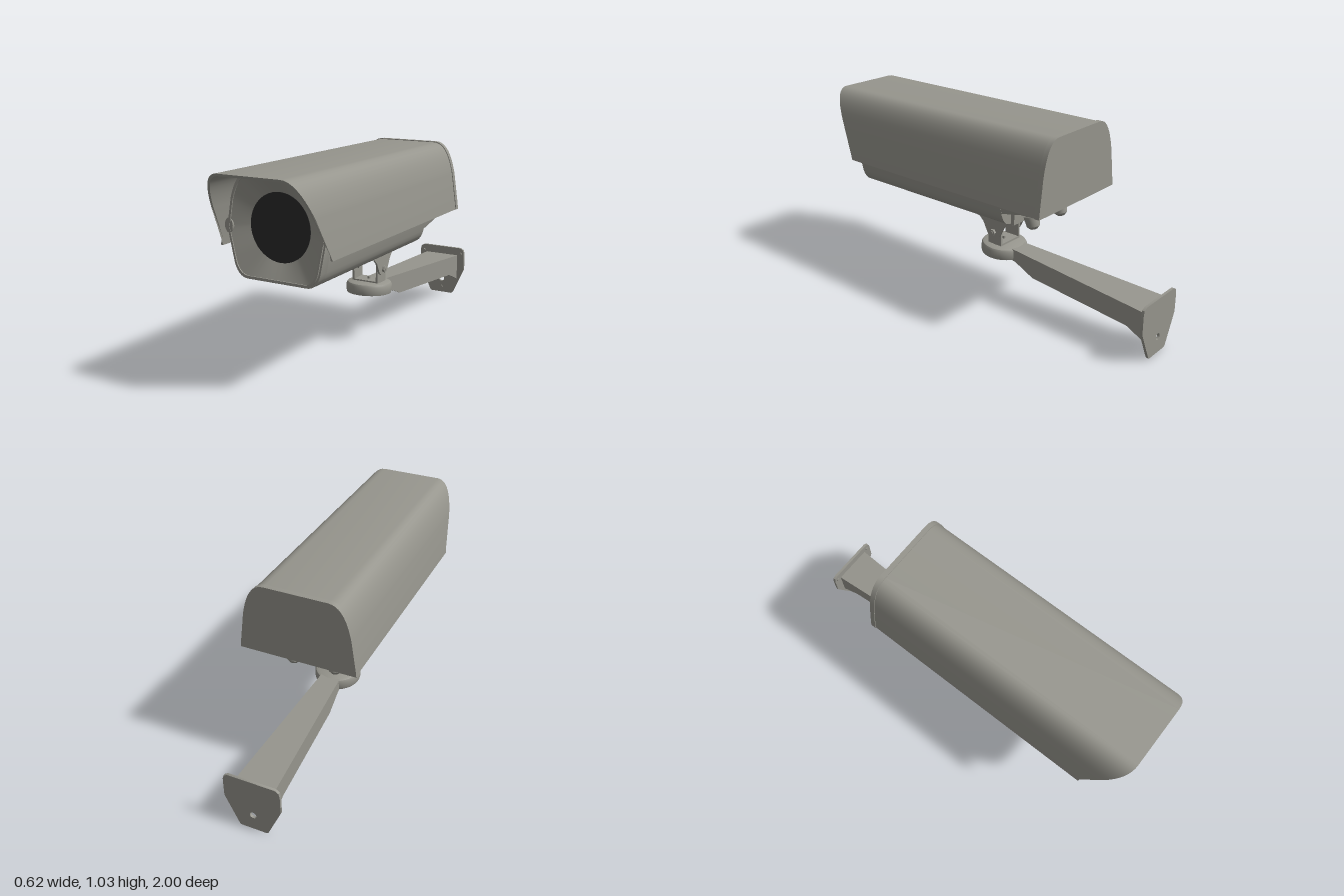
import * as THREE from 'three';
import { toCreasedNormals } from 'three/addons/utils/BufferGeometryUtils.js';

const grey = new THREE.MeshStandardMaterial({ color: 0x96958d });
grey.name = 'warm grey';
const black = new THREE.MeshStandardMaterial({ color: 0x2b2b2b });
black.name = 'lens black';

const CY = 0.765; // height of the lens axis

export function createModel() {
  const model = new THREE.Group();

  const add = (name, geo, mat = grey, parent = model) => {
    const m = new THREE.Mesh(toCreasedNormals(geo, 0.6), mat);
    m.name = name;
    parent.add(m);
    return m;
  };
  const warp = (geo, fn) => {
    const p = geo.attributes.position, v = new THREE.Vector3();
    for (let i = 0; i < p.count; i++) {
      v.fromBufferAttribute(p, i);
      fn(v);
      p.setXYZ(i, v.x, v.y, v.z);
    }
    return geo;
  };
  // Extrude an xy shape between two z values
  const prism = (shape, z0, z1) => new THREE.ExtrudeGeometry(shape,
    { depth: z1 - z0, bevelEnabled: false, curveSegments: 10 }).translate(0, 0, z0);
  const poly = pts => new THREE.Shape(pts.map(p => new THREE.Vector2(p[0], p[1])));
  // Extrude a (z, y) outline to a plate of thickness t centred on x
  const plate = (pts, x, t) => prism(poly(pts), -t / 2, t / 2).rotateY(-Math.PI / 2).translate(x, 0, 0);
  const rod = (r, len, x, y, z, seg = 20) =>
    new THREE.CylinderGeometry(r, r, len, seg).rotateZ(Math.PI / 2).translate(x, y, z);

  // Housing section, scaled about the lens axis
  const section = (s = 1) => {
    const q = new THREE.Shape();
    const P = (x, y) => [x * s, CY + (y - CY) * s];
    q.moveTo(...P(-0.16, 0.515));
    q.lineTo(...P(0.16, 0.515));
    q.quadraticCurveTo(...P(0.215, 0.515), ...P(0.235, 0.585));
    q.lineTo(...P(0.27, 0.75));
    q.lineTo(...P(0.245, 0.885));
    q.bezierCurveTo(...P(0.23, 0.94), ...P(0.2, 1.005), ...P(0.16, 1.005));
    q.lineTo(...P(-0.16, 1.005));
    q.bezierCurveTo(...P(-0.2, 1.005), ...P(-0.23, 0.94), ...P(-0.245, 0.885));
    q.lineTo(...P(-0.27, 0.75));
    q.lineTo(...P(-0.235, 0.585));
    q.quadraticCurveTo(...P(-0.215, 0.515), ...P(-0.16, 0.515));
    return q;
  };
  const ring = (s0, s1, z0, z1) => {
    const q = section(s0);
    q.holes.push(section(s1));
    return prism(q, z0, z1);
  };

  // Housing, with the underside of its tail sloping up to the back
  add('housing', prism(section(), -0.215, 0.765));
  add('housingTail', warp(prism(section(), -0.485, -0.215), v => {
    v.y = Math.max(v.y, v.z < -0.3 ? 0.65 : 0.592);
  }));
  add('tailLip', new THREE.BoxGeometry(0.32, 0.07, 0.022).translate(0, 0.545, -0.224));

  // Stepped front rim, funnel and lens
  add('rimOuter', ring(1, 0.965, 0.76, 0.812));
  add('rimInner', ring(0.968, 0.935, 0.76, 0.82));
  const N = 96, R = 0.163, pos = [], idx = [];
  for (const p of section(0.94).getSpacedPoints(N)) {
    const a = Math.atan2(p.y - CY, p.x);
    pos.push(p.x, p.y, 0.815, R * Math.cos(a), CY + R * Math.sin(a), 0.773);
  }
  for (let i = 0; i < N; i++) {
    const a = 2 * i;
    idx.push(a, a + 2, a + 1, a + 1, a + 2, a + 3);
  }
  const funnel = new THREE.BufferGeometry();
  funnel.setAttribute('position', new THREE.Float32BufferAttribute(pos, 3));
  funnel.setIndex(idx);
  funnel.computeVertexNormals();
  add('funnel', funnel);
  add('lens', new THREE.CylinderGeometry(R, R, 0.009, 48).rotateX(Math.PI / 2).translate(0, CY, 0.7705), black);
  for (const s of [-1, 1]) {
    add('rimEar', new THREE.CylinderGeometry(0.035, 0.035, 0.075, 20).rotateX(Math.PI / 2)
      .scale(0.65, 1, 1).translate(s * 0.257, 0.758, 0.78));
  }

  // Sun hood: thin arch with a raked front edge
  const arch = (q, d, dir) => {
    const s = dir, x = v => s * (v - d), top = 1.028 - d;
    q.lineTo(x(0.305), 0.66);
    q.lineTo(x(0.302), 0.69);
    q.lineTo(x(0.278), 0.86);
    q.bezierCurveTo(x(0.26), 0.95, x(0.23), top, s * 0.165, top);
    q.lineTo(-s * 0.165, top);
    q.bezierCurveTo(-x(0.23), top, -x(0.26), 0.95, -x(0.278), 0.86);
    q.lineTo(-x(0.302), 0.69);
    q.lineTo(-x(0.305), 0.66);
  };
  const hood = new THREE.Shape();
  hood.moveTo(0.305, 0.66);
  arch(hood, 0, 1);
  arch(hood, 0.012, -1);
  add('hood', warp(prism(hood, -0.485, 1), v => {
    if (v.z > 0.5) v.z = 0.82 + 0.18 * Math.max(0, v.y - 0.69) / 0.338;
  }));
  const cap = new THREE.Shape();
  cap.moveTo(0.308, 0.66);
  arch(cap, -0.004, 1);
  add('backCap', prism(cap, -0.505, -0.478));
  add('hoodClip', new THREE.BoxGeometry(0.02, 0.018, 0.04).translate(0, 1.009, 0.78));

  // Cable glands under the tail
  for (const s of [-1, 1]) {
    const gland = new THREE.LatheGeometry([[0, -0.105], [0.018, -0.105], [0.034, -0.09], [0.04, -0.05],
      [0.04, -0.035], [0.032, -0.033], [0.032, -0.025], [0.05, -0.023], [0.05, -0.008], [0.04, 0], [0.04, 0.03], [0, 0.03]]
      .map(p => new THREE.Vector2(...p)), 20);
    add('cableGland', gland.rotateX(0.25).translate(s * 0.115, 0.605, -0.3));
  }

  // Swivel: upper cheeks under the housing, lower tabs on the arm, pivot bolts
  add('cheekPlate', new THREE.BoxGeometry(0.17, 0.012, 0.3).translate(0, 0.511, -0.025));
  add('plateBolt', new THREE.CylinderGeometry(0.016, 0.016, 0.015, 12).translate(0, 0.5, -0.03));
  for (const s of [-1, 1]) {
    add('cheek', plate([[0.13, 0.517], [0.13, 0.49], [0.11, 0.468], [0.06, 0.46], [0.035, 0.435], [0.005, 0.375],
      [-0.015, 0.362], [-0.055, 0.362], [-0.075, 0.375], [-0.11, 0.44], [-0.18, 0.517]], s * 0.083, 0.01));
    add('lowerTab', plate([[0.01, 0.32], [0.01, 0.42], [-0.01, 0.447], [-0.06, 0.447], [-0.08, 0.42], [-0.08, 0.32]],
      s * 0.072, 0.011));
    add('pivotBolt', rod(0.009, 0.05, s * 0.08, 0.392, -0.035));
    add('pivotHead', rod(0.018, 0.014, s * 0.095, 0.392, -0.035, 6));
    add('pivotNut', rod(0.015, 0.01, s * 0.062, 0.392, -0.035, 6));
  }
  add('tabBase', new THREE.BoxGeometry(0.155, 0.01, 0.09).translate(0, 0.322, -0.035));
  add('baseBolt', new THREE.CylinderGeometry(0.008, 0.008, 0.02, 12).translate(0, 0.33, -0.035));

  // Round arm head, hollow underneath and slightly tilted
  const head = new THREE.LatheGeometry([[0, 0.045], [0.108, 0.045], [0.108, 0], [0.12, 0], [0.123, 0.012],
    [0.123, 0.045], [0.117, 0.056], [0.106, 0.061], [0, 0.061]].map(p => new THREE.Vector2(...p)), 48);
  add('armHead', head.rotateX(-0.06).translate(0, 0.256, -0.035));

  // Arm: channel open below, widening toward the wall
  const half = z => 0.055 + 0.05 * (-0.15 - z) / 0.83;
  const topY = z => 0.311 - 0.056 * (-0.13 - z) / 0.85;
  for (const s of [-1, 1]) {
    add('armWall', warp(plate([[-0.12, topY(-0.12)], [-0.12, 0.248], [-0.16, 0.242], [-0.28, 0.19], [-0.88, 0.15],
      [-0.99, 0.1], [-0.99, topY(-0.99)]], 0, 0.01), v => { v.x += s * (half(v.z) - 0.005); }));
  }
  add('armTop', warp(new THREE.BoxGeometry(2, 0.012, 0.87).translate(0, -0.006, -0.555), v => {
    v.x *= half(v.z);
    v.y += topY(v.z);
  }));

  // Wall plate with a large cable hole and a small screw hole
  const wall = poly([[-0.07, 0], [0.07, 0], [0.078, 0.008], [0.15, 0.165], [0.15, 0.27], [0.144, 0.29], [0.125, 0.302],
    [-0.125, 0.302], [-0.144, 0.29], [-0.15, 0.27], [-0.15, 0.165], [-0.078, 0.008]]);
  wall.holes.push(new THREE.Path().absarc(0, 0.09, 0.018, 0, Math.PI * 2, true));
  add('wallPlate', prism(wall, -1, -0.986));
  for (const [x, y] of [[0, 0.035], [-0.127, 0.265], [0.127, 0.265]]) {
    add('wallScrew', new THREE.CylinderGeometry(0.009, 0.009, 0.008, 12).rotateX(Math.PI / 2).translate(x, y, -0.984));
  }

  return model;
}
